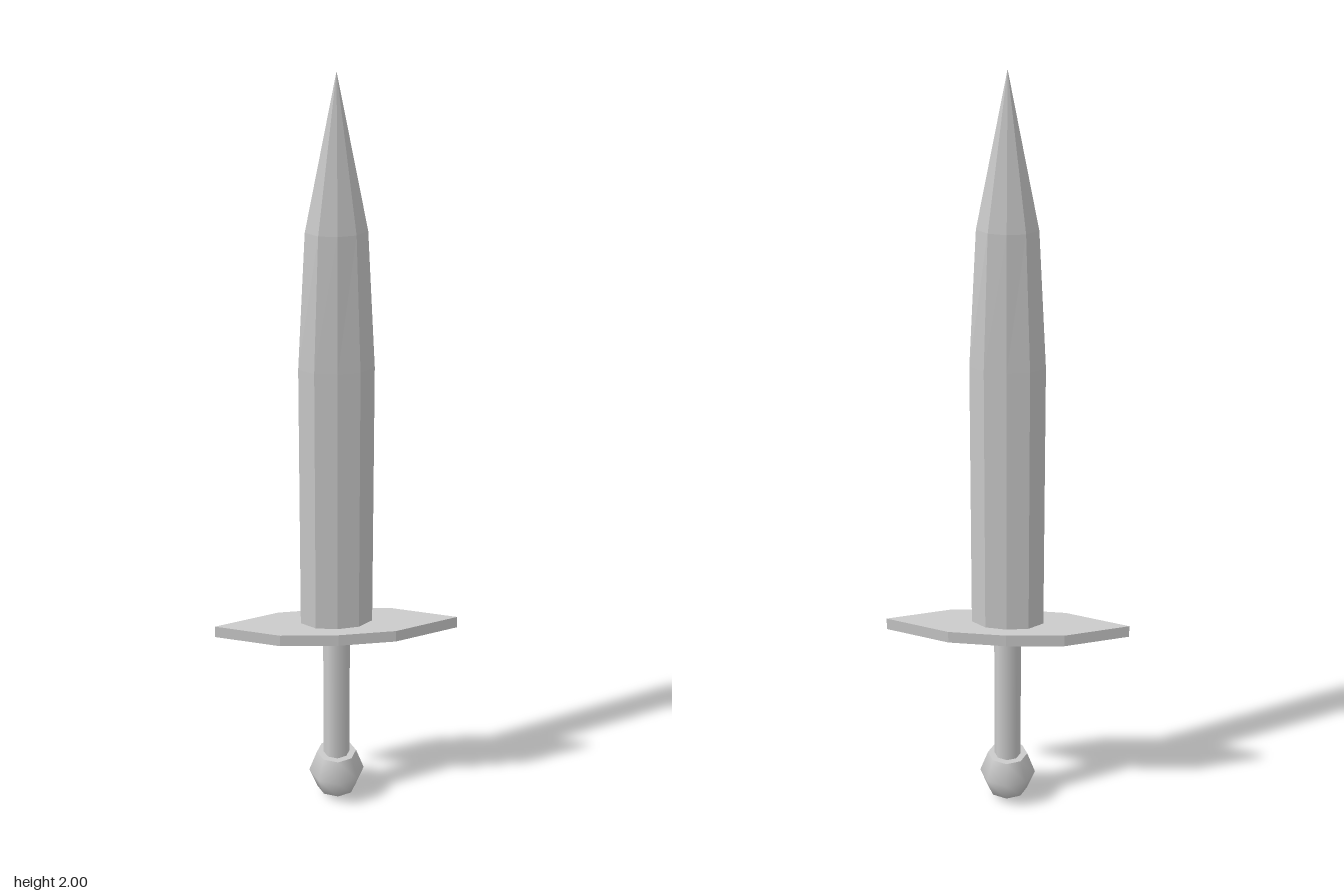
import * as THREE from 'three';

// Flattened eight-sided outline: edge point, shoulder, middle
function outline(tipX, shoulderX, shoulderZ, midZ) {
  return [
    [tipX, 0], [shoulderX, shoulderZ], [0, midZ], [-shoulderX, shoulderZ],
    [-tipX, 0], [-shoulderX, -shoulderZ], [0, -midZ], [shoulderX, -shoulderZ],
  ];
}

// Joins scaled copies of an outline at rising levels { y, sx, sz } and caps both ends
function loft(points, levels) {
  const n = points.length;
  const pos = [];
  const index = [];
  for (const { y, sx, sz } of levels) {
    for (const [x, z] of points) pos.push(x * sx, y, z * sz);
  }
  for (let l = 0; l < levels.length - 1; l++) {
    for (let i = 0; i < n; i++) {
      const a = l * n + i;
      const b = l * n + (i + 1) % n;
      index.push(a, a + n, b, b, a + n, b + n);
    }
  }
  const top = (levels.length - 1) * n;
  for (let i = 1; i < n - 1; i++) {
    index.push(0, i, i + 1, top, top + i + 1, top + i);
  }
  const geometry = new THREE.BufferGeometry();
  geometry.setAttribute('position', new THREE.Float32BufferAttribute(pos, 3));
  geometry.setIndex(index);
  const flat = geometry.toNonIndexed();
  flat.computeVertexNormals();
  return flat;
}

export function createModel() {
  const group = new THREE.Group();
  const flatGrey = new THREE.MeshStandardMaterial({ color: 0xcccccc, flatShading: true });
  const smoothGrey = new THREE.MeshStandardMaterial({ color: 0xcccccc });

  const add = (name, geometry, material) => {
    const mesh = new THREE.Mesh(geometry, material);
    mesh.name = name;
    group.add(mesh);
    return mesh;
  };

  // Blade: straight, then narrowing in width, then tapering to the point
  add('blade', loft(outline(0.093, 0.056, 0.028, 0.036), [
    { y: 0.54, sx: 1, sz: 1 },
    { y: 1.27, sx: 1, sz: 1 },
    { y: 1.62, sx: 0.8, sz: 0.97 },
    { y: 2, sx: 0.002, sz: 0.002 },
  ]), flatGrey);

  // Crossguard: thin pointed plate
  add('crossguard', loft(outline(0.316, 0.15, 0.056, 0.065), [
    { y: 0.515, sx: 1, sz: 1 },
    { y: 0.547, sx: 1, sz: 1 },
  ]), flatGrey);

  // Grip
  const grip = add('grip', new THREE.CylinderGeometry(0.035, 0.035, 0.39, 8, 1, true), smoothGrey);
  grip.position.y = 0.325;

  // Pommel: coarse ball with a flat top
  const ball = [[0, 0], [0.052, 0.022], [0.074, 0.078], [0.053, 0.136]];
  add('pommel', new THREE.LatheGeometry(ball.map(([r, y]) => new THREE.Vector2(r, y)), 8), smoothGrey);
  const pommelTop = add('pommelTop', new THREE.CircleGeometry(0.053, 8), flatGrey);
  pommelTop.rotation.x = -Math.PI / 2;
  pommelTop.position.y = 0.136;

  return group;
}
